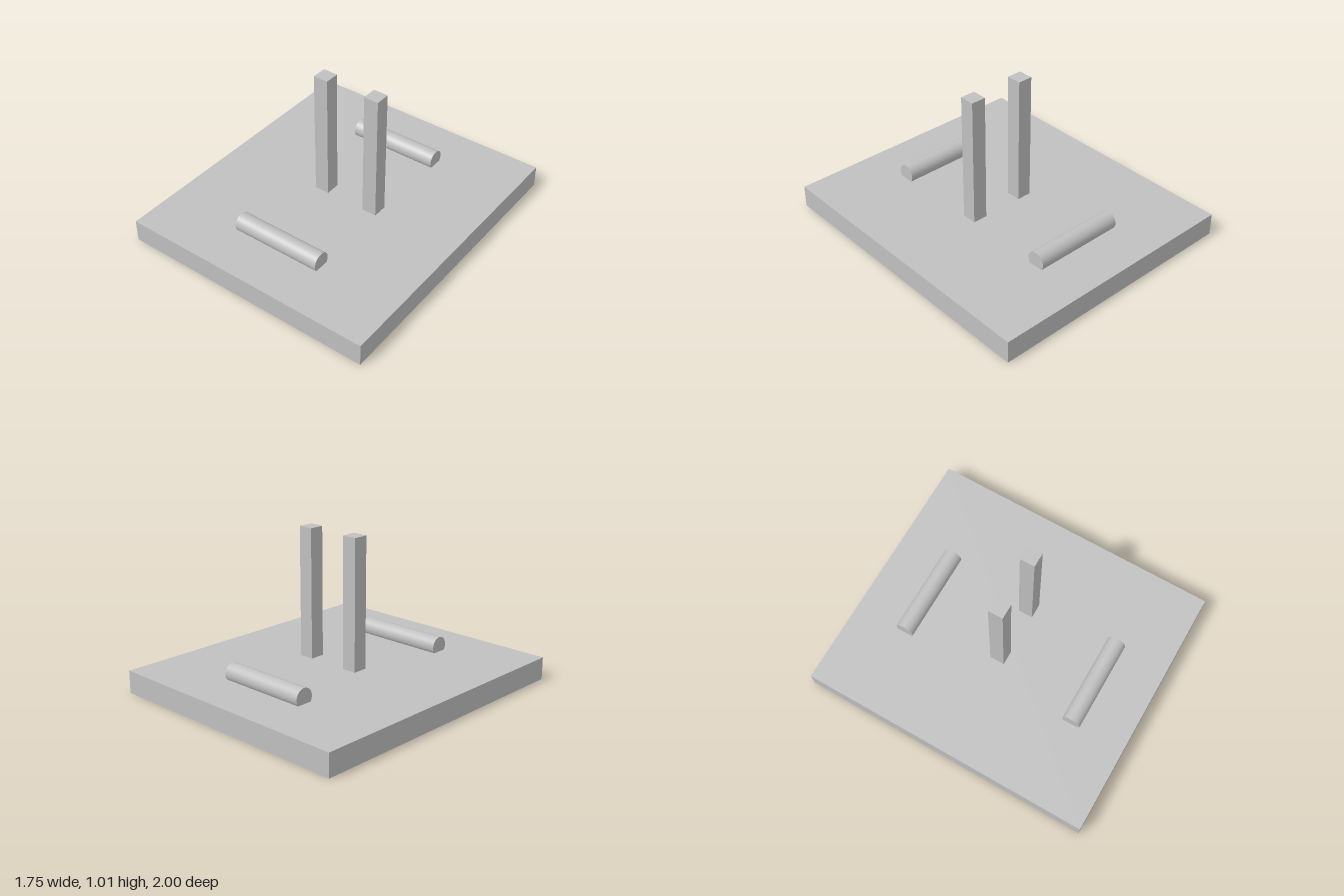
import * as THREE from 'three';

export function createModel() {
  const model = new THREE.Group();
  const grey = new THREE.MeshStandardMaterial({ color: 0xc0c0c0 });
  grey.name = 'light grey';

  function add(name, geometry, x, y, z) {
    const mesh = new THREE.Mesh(geometry, grey);
    mesh.name = name;
    mesh.position.set(x, y, z);
    model.add(mesh);
    return mesh;
  }

  // Flat base slab
  const baseTop = 0.15;
  add('base', new THREE.BoxGeometry(1.75, baseTop, 2), 0, baseTop / 2, 0);

  // Two square upright posts, set off centre
  const postHeight = 0.865;
  const postGeometry = new THREE.BoxGeometry(0.1, postHeight, 0.1);
  add('rightPost', postGeometry, -0.128, baseTop + postHeight / 2, 0);
  add('leftPost', postGeometry, 0.248, baseTop + postHeight / 2, 0);

  // Round bars partly sunk into the base at front and back
  const barGeometry = new THREE.CylinderGeometry(0.0625, 0.0625, 0.625, 40).rotateZ(Math.PI / 2);
  add('frontBar', barGeometry, 0, 0.1875, 0.625);
  add('backBar', barGeometry, 0, 0.1875, -0.625);

  return model;
}
